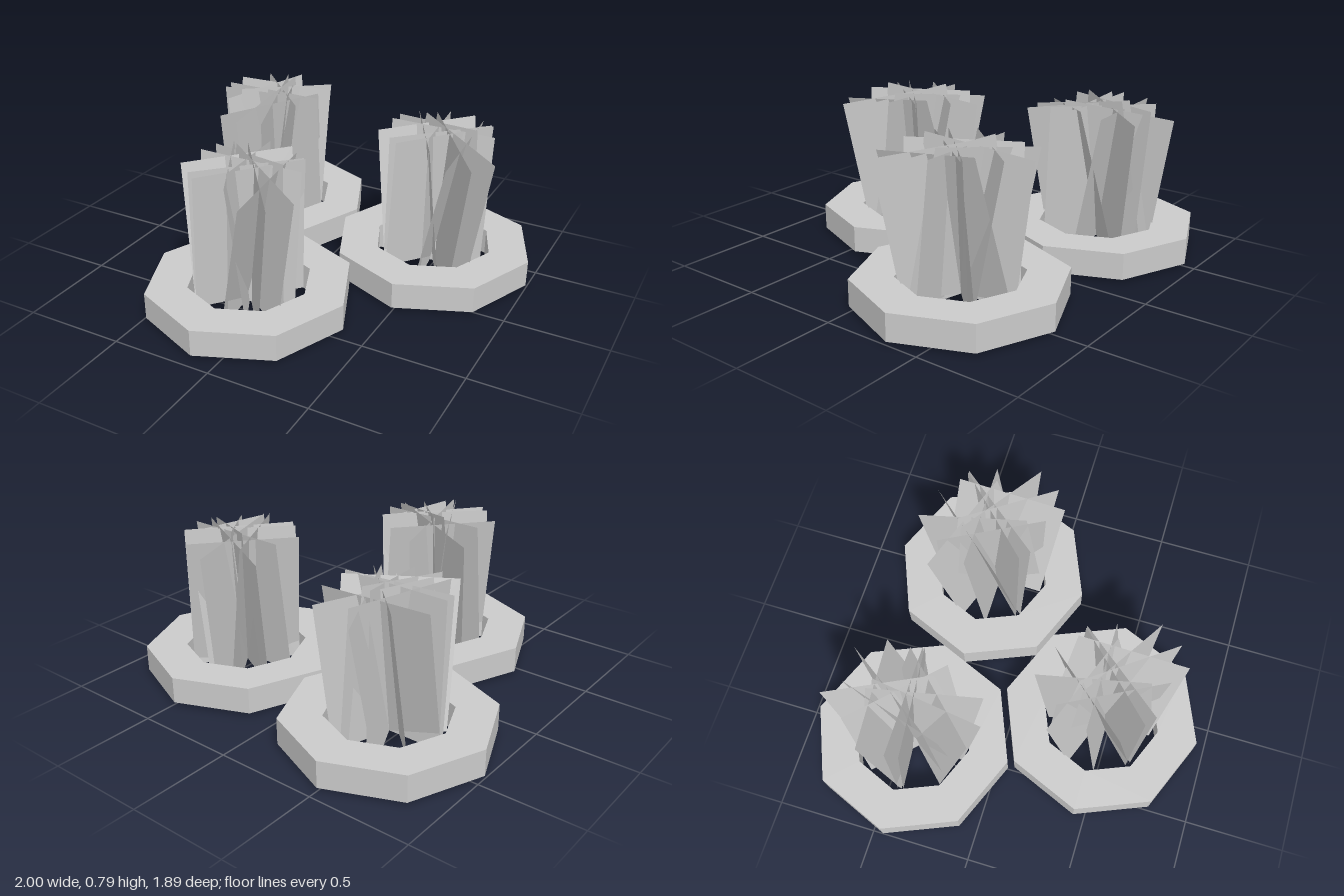
import * as THREE from 'three';

const material = new THREE.MeshStandardMaterial({ color: 0xcccccc, flatShading: true });
const leafMaterial = new THREE.MeshStandardMaterial({ color: 0xcccccc, flatShading: true, side: THREE.DoubleSide });
const deg = THREE.MathUtils.degToRad;

// Leaf cards: [heading, roll along the card, tilt across it, sideways offset], in degrees
const LEAVES = [
  [0, 0, -6.5, 0.04],
  [30, 9.5, -2.6],
  [23, -8, -6.8],
  [50, 10, -2.6],
  [87, 6.5, -13],
  [80, -6.5, 1],
  [62, 0, 6],
  [-49, 0, -10.5],
  [-51, 0, 5],
  [-45, 0, 2],
];

// Clumps: centre x, centre z, turn of the tuft
const CLUMPS = [
  [-0.497, -0.447, 45],
  [0.495, -0.335, 0],
  [-0.127, 0.442, 0],
];

function createRing() {
  const outer = 0.503, inner = 0.3, bottom = 0.015, top = 0.147;
  const profile = [
    [outer, bottom], [outer, top], [inner, top], [inner, bottom], [outer, bottom],
  ].map(([x, y]) => new THREE.Vector2(x, y));
  const ring = new THREE.Mesh(new THREE.LatheGeometry(profile, 8), material);
  ring.name = 'planterRing';
  return ring;
}

// Flat card pivoting about the middle of its lower edge
const leafGeometry = new THREE.PlaneGeometry(0.535, 0.705).translate(0, 0.3525, 0);

function createLeaf([heading, roll, tilt, offset = 0]) {
  const leaf = new THREE.Mesh(leafGeometry, leafMaterial);
  leaf.name = 'leafCard';
  leaf.rotation.set(deg(tilt), -deg(heading), -deg(roll), 'YXZ');
  leaf.position.set(-Math.sin(deg(heading)) * offset, 0.047, Math.cos(deg(heading)) * offset);
  return leaf;
}

export function createModel() {
  const model = new THREE.Group();
  model.name = 'plantedRings';
  for (const [x, z, turn] of CLUMPS) {
    const clump = new THREE.Group();
    clump.name = 'plantClump';
    clump.position.set(x, 0, z);

    const tuft = new THREE.Group();
    tuft.name = 'leafTuft';
    tuft.rotation.y = -deg(turn);
    for (const leaf of LEAVES) tuft.add(createLeaf(leaf));

    clump.add(createRing(), tuft);
    model.add(clump);
  }
  return model;
}
